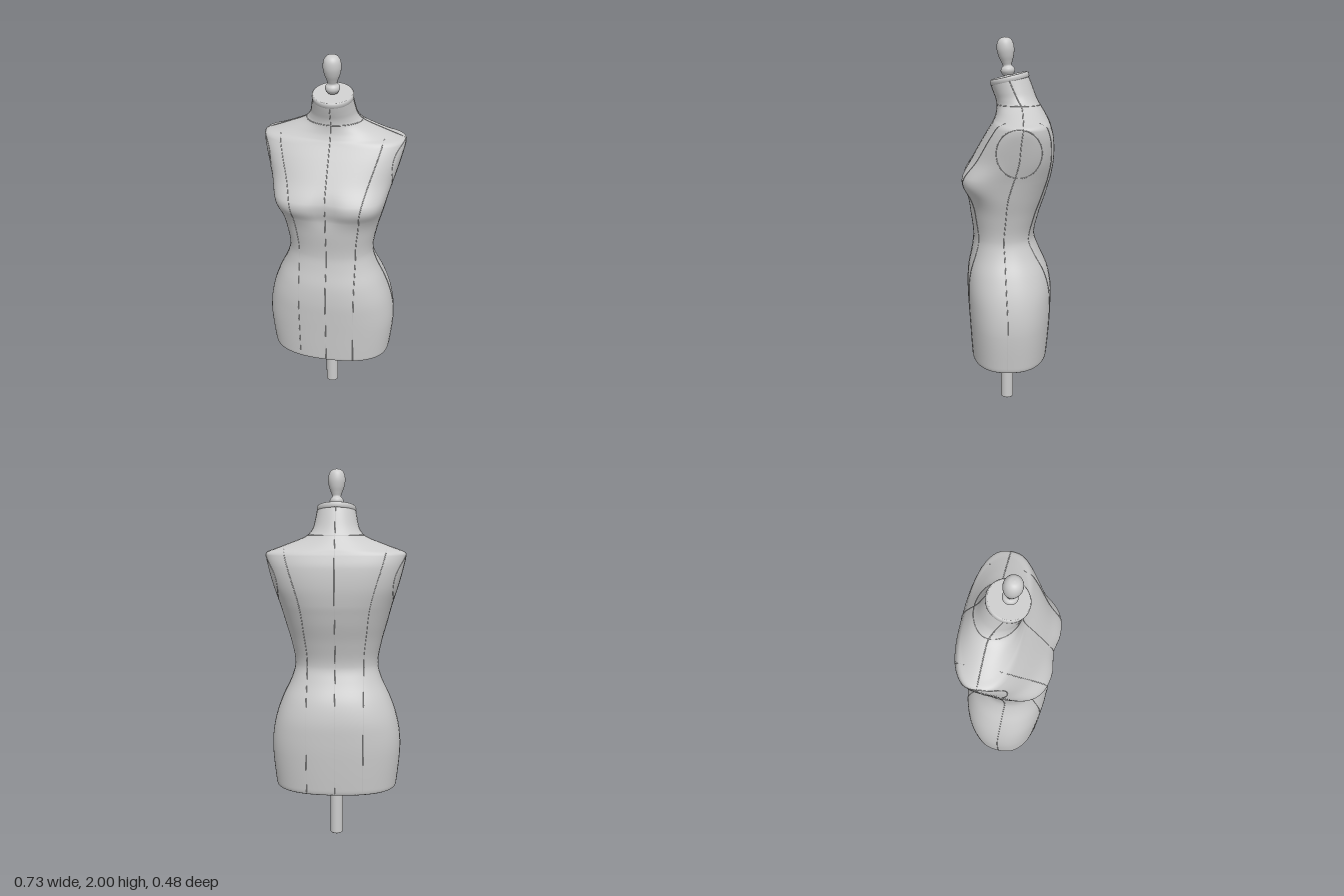
import * as THREE from 'three';

// Torso sections: y, half width, front z, back z, side seam z, roundness exponent
const SECTIONS = [
  [0.295, 0.318, 0.188, -0.2, 0, 2.4],
  [0.302, 0.328, 0.197, -0.21, 0, 2.4],
  [0.33, 0.334, 0.201, -0.216, 0, 2.4],
  [0.5, 0.35, 0.211, -0.23, 0, 2.4],
  [0.6, 0.346, 0.217, -0.234, 0, 2.4],
  [0.7, 0.326, 0.221, -0.232, 0.005, 2.4],
  [0.8, 0.29, 0.215, -0.21, 0.01, 2.35],
  [0.9, 0.243, 0.195, -0.165, 0.015, 2.3],
  [0.98, 0.224, 0.186, -0.14, 0.02, 2.25],
  [1.1, 0.243, 0.2, -0.165, 0.01, 2.3],
  [1.2, 0.27, 0.216, -0.198, 0, 2.35],
  [1.26, 0.285, 0.24, -0.215, -0.015, 2.4],
  [1.31, 0.298, 0.238, -0.228, -0.03, 2.45],
  [1.4, 0.325, 0.183, -0.24, -0.055, 2.6],
  [1.5, 0.351, 0.124, -0.237, -0.065, 2.7],
  [1.56, 0.362, 0.087, -0.222, -0.073, 2.6],
  [1.578, 0.354, 0.077, -0.215, -0.075, 2.4],
  [1.592, 0.315, 0.07, -0.209, -0.075, 2.1],
  [1.62, 0.24, 0.061, -0.193, -0.074, 1.9],
  [1.655, 0.155, 0.058, -0.172, -0.07, 1.9],
  [1.69, 0.122, 0.061, -0.149, -0.05, 2],
  [1.73, 0.11, 0.072, -0.128, -0.03, 2],
  [1.79, 0.1, 0.089, -0.1, -0.005, 2],
];
const TILT = 0.237;

// Smooth interpolation of the section table
function section(y) {
  const S = SECTIONS, last = S.length - 1;
  let i = 0;
  while (i < last - 1 && y > S[i + 1][0]) i++;
  const h = S[i + 1][0] - S[i][0];
  const t = THREE.MathUtils.clamp((y - S[i][0]) / h, 0, 1);
  const slope = (k, c) => {
    const a = Math.max(k - 1, 0), b = Math.min(k + 1, last);
    return (S[b][c] - S[a][c]) / (S[b][0] - S[a][0]);
  };
  const v = [1, 2, 3, 4, 5].map((c) =>
    (1 + 2 * t) * (1 - t) ** 2 * S[i][c] + t * (1 - t) ** 2 * h * slope(i, c) +
    t * t * (3 - 2 * t) * S[i + 1][c] + t * t * (t - 1) * h * slope(i + 1, c));
  const bust = Math.exp(-(((y - 1.27) / 0.075) ** 2));
  return { w: v[0], zf: v[1], zb: v[2], zc: v[3], nb: v[4], nf: v[4] + 1.1 * bust, bust };
}

// Adds the hollow between the busts and the forward tilt of the neck
function place(x, y, z, s, front) {
  if (front > 0) z -= 0.022 * s.bust * front * Math.exp(-((x / 0.065) ** 2));
  const k = THREE.MathUtils.smoothstep(y, 1.66, 1.78);
  return new THREE.Vector3(x, y - k * TILT * (z + 0.005), z);
}

// Surface point at angle a (0 = left side, PI/2 = front)
function around(y, a) {
  const s = section(y), c = Math.cos(a), d = Math.sin(a);
  const n = d > 0 ? s.nf : s.nb, depth = d > 0 ? s.zf - s.zc : s.zc - s.zb;
  const x = s.w * Math.sign(c) * Math.abs(c) ** (2 / n);
  const q = Math.sign(d) * Math.abs(d) ** (2 / n);
  return place(x, y, s.zc + depth * q, s, q);
}

// Surface point at a given x on the front (1) or back (-1)
function atX(x, y, side) {
  const s = section(y), n = side > 0 ? s.nf : s.nb;
  const q = Math.max(0, 1 - Math.min(1, Math.abs(x) / s.w) ** n) ** (1 / n);
  return place(x, y, s.zc + (side > 0 ? s.zf - s.zc : s.zb - s.zc) * q, s, q * side);
}

// Surface point at a given z on the left (1) or right (-1)
function atZ(z, y, side) {
  const s = section(y), f = z > s.zc, n = f ? s.nf : s.nb;
  const q = Math.abs((z - s.zc) / (f ? s.zf - s.zc : s.zb - s.zc));
  return new THREE.Vector3(side * s.w * Math.max(0, 1 - q ** n) ** (1 / n), y, z);
}

function torsoGeometry() {
  const cols = 112, steps = 5, ys = [];
  for (let i = 0; i < SECTIONS.length - 1; i++)
    for (let k = 0; k < steps; k++)
      ys.push(THREE.MathUtils.lerp(SECTIONS[i][0], SECTIONS[i + 1][0], k / steps));
  ys.push(SECTIONS[SECTIONS.length - 1][0]);
  const pos = [], index = [];
  ys.forEach((y, r) => {
    for (let j = 0; j < cols; j++) {
      pos.push(...around(y, (j / cols) * Math.PI * 2).toArray());
      if (r === ys.length - 1) continue;
      const a = r * cols + j, b = r * cols + ((j + 1) % cols);
      index.push(a, a + cols, b, b, a + cols, b + cols);
    }
  });
  const g = new THREE.BufferGeometry();
  g.setAttribute('position', new THREE.Float32BufferAttribute(pos, 3));
  g.setIndex(index);
  g.computeVertexNormals();
  return g;
}

export function createModel() {
  const model = new THREE.Group();
  model.name = 'dressForm';
  const material = new THREE.MeshStandardMaterial({ color: 0xcccccc });
  const add = (name, geometry, parent = model) => {
    const mesh = new THREE.Mesh(geometry, material);
    mesh.name = name;
    parent.add(mesh);
    return mesh;
  };
  const range = (n, f) => Array.from({ length: n + 1 }, (_, i) => f(i / n));
  const lathe = (points, seg = 40) =>
    new THREE.LatheGeometry(points.map(([r, y]) => new THREE.Vector2(r, y)), seg);

  // Torso and its flat underside
  add('torso', torsoGeometry());
  const rim = range(111, (t) => around(0.295, (t * 111 / 112) * Math.PI * 2));
  const base = new THREE.ShapeGeometry(new THREE.Shape(rim.map((p) => new THREE.Vector2(p.x, p.z))));
  add('torsoBase', base.rotateX(Math.PI / 2).translate(0, 0.295, 0));

  // Raised fabric seams
  const seams = new THREE.Group();
  seams.name = 'seams';
  model.add(seams);
  const seam = (name, points, closed = false) => add(name, new THREE.TubeGeometry(
    new THREE.CatmullRomCurve3(points, closed), points.length * 2, 0.0022, 5, closed), seams);
  const lerpY = (t, top) => THREE.MathUtils.lerp(0.31, top, t);
  const princessX = (y) => 0.15 + 0.02 * THREE.MathUtils.smoothstep(y, 1.0, 1.25)
    + 0.09 * THREE.MathUtils.smoothstep(y, 1.2, 1.7) * 1.15;
  for (const side of [1, -1]) {
    const face = side > 0 ? 'Front' : 'Back';
    seam('centre' + face + 'Seam', range(60, (t) => atX(0, lerpY(t, 1.785), side)));
    for (const m of [1, -1])
      seam('princess' + face + 'Seam', range(60, (t) => {
        const y = lerpY(t, 1.592);
        return atX(m * princessX(y), y, side);
      }));
    seam('sideSeam', range(90, (t) => around(lerpY(t, 1.785), side > 0 ? 0 : Math.PI)));
    // Round armhole plate outline
    seam('armholeSeam', range(47, (t) => {
      const a = (t * 47 / 48) * Math.PI * 2;
      return atZ(-0.055 + 0.112 * Math.cos(a), 1.45 + 0.122 * Math.sin(a), side);
    }), true);
  }
  seam('neckSeam', range(63, (t) => around(1.662, (t * 63 / 64) * Math.PI * 2)), true);

  // Tilted neck plate
  const plate = add('neckPlate', lathe([[0, -0.028], [0.097, -0.028], [0.102, -0.024], [0.103, -0.012],
    [0.102, -0.004], [0.098, 0], [0.096, 0.001], [0, 0.001]], 64));
  plate.position.set(0, 1.807, -0.005);
  plate.rotation.x = Math.atan(TILT);

  // Knob: ball, narrow waist and egg-shaped grip
  const profile = new THREE.SplineCurve([[0.026, 0], [0.036, 0.018], [0.034, 0.034], [0.023, 0.047],
    [0.028, 0.065], [0.039, 0.095], [0.045, 0.13], [0.04, 0.164], [0.024, 0.184], [0, 0.19]]
    .map(([r, y]) => new THREE.Vector2(r, y)));
  const knob = add('knob', lathe(profile.getPoints(48).map((p) => [Math.max(0, p.x), p.y])));
  knob.position.set(0, 1.811, -0.002);
  knob.rotation.x = 0.11;

  // Support pole
  add('pole', lathe([[0, 0], [0.032, 0], [0.032, 0], [0.035, 0.003], [0.035, 0.003], [0.035, 0.31]]))
    .position.z = 0.005;
  return model;
}
